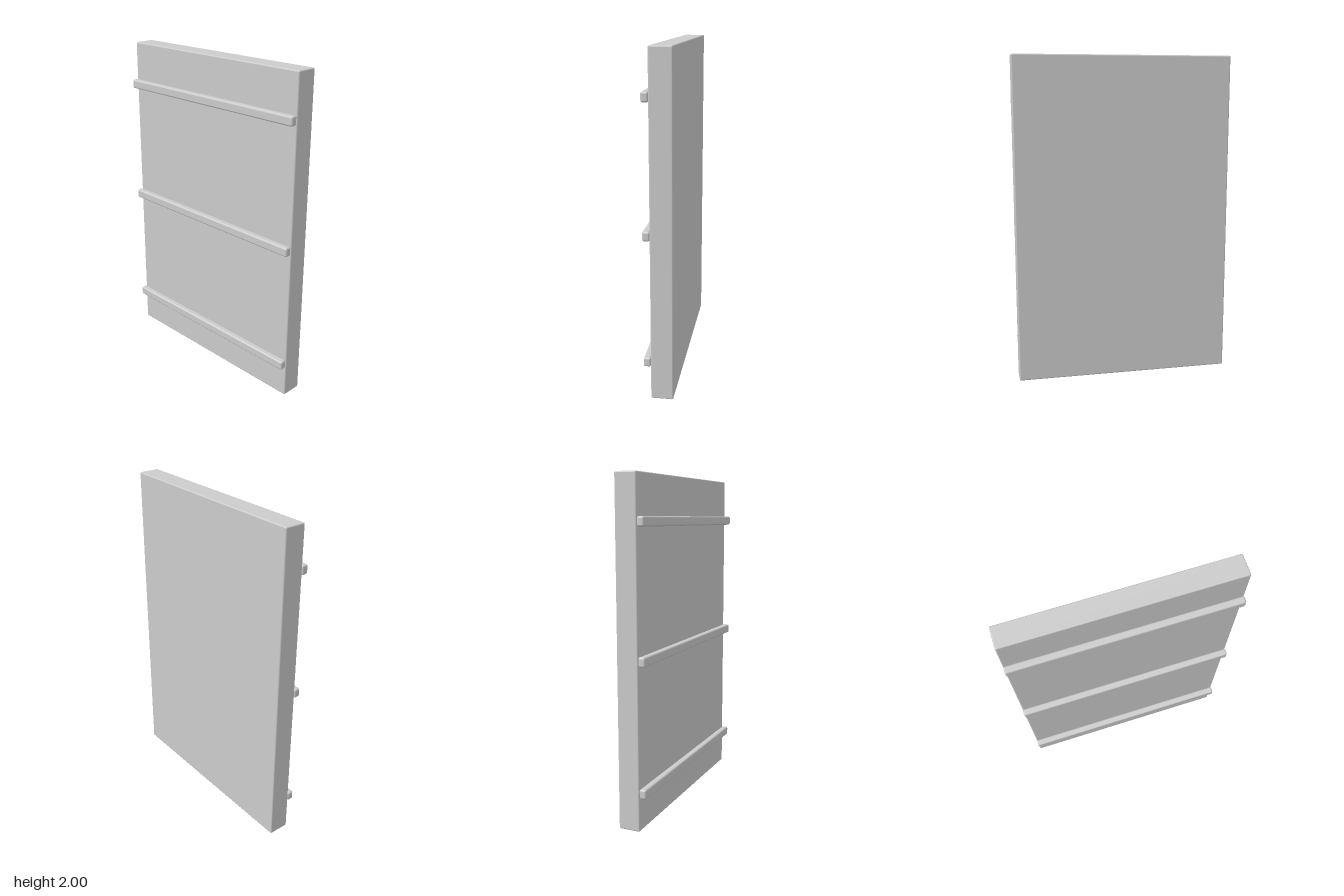
import * as THREE from 'three';
import { RoundedBoxGeometry } from 'three/addons/geometries/RoundedBoxGeometry.js';

const WIDTH = 1.336;
const material = new THREE.MeshStandardMaterial({ color: 0xcccccc });

// Box with softened edges, placed by its centre
function softBox(name, height, depth, radius, y, z) {
  const mesh = new THREE.Mesh(new RoundedBoxGeometry(WIDTH, height, depth, 2, radius), material);
  mesh.name = name;
  mesh.position.set(0, y, z);
  return mesh;
}

export function createModel() {
  const group = new THREE.Group();
  group.name = 'battenedPanel';

  // Upright slab
  group.add(softBox('panel', 2, 0.13, 0.008, 1, -0.021));

  // Three horizontal battens on the front face
  const names = ['lowerBatten', 'middleBatten', 'upperBatten'];
  names.forEach((name, i) => {
    group.add(softBox(name, 0.056, 0.042, 0.011, 0.227 + i * 0.756, 0.065));
  });
  return group;
}
